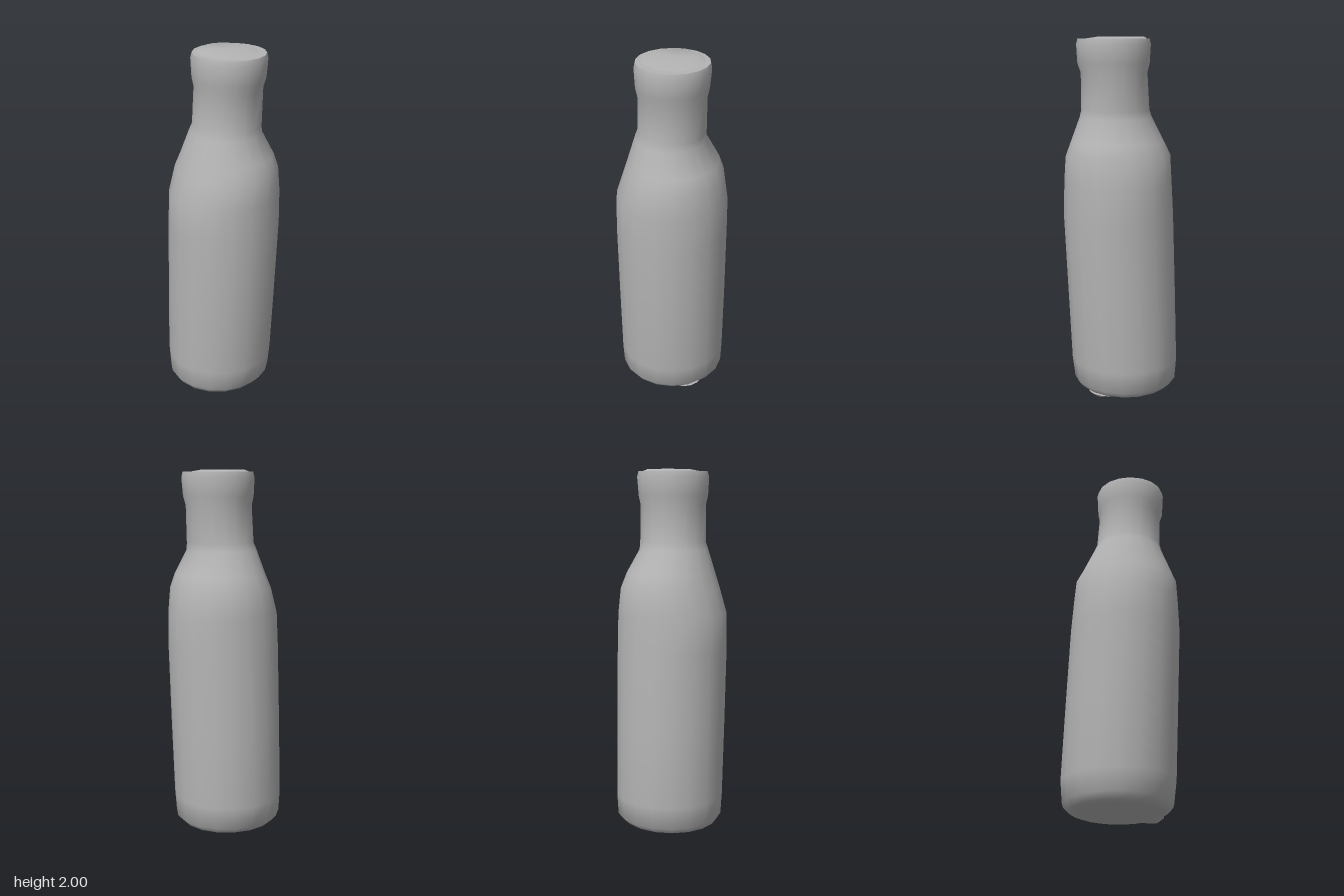
import * as THREE from 'three';
import { toCreasedNormals } from 'three/addons/utils/BufferGeometryUtils.js';

const SIDES = 18;

// Lofts closed elliptical rings [y, xMin, xMax, zMin, zMax] from bottom to top, with both ends capped.
function loft(rings) {
  const pos = [], idx = [];
  for (const [y, x0, x1, z0, z1] of rings) {
    for (let i = 0; i < SIDES; i++) {
      const a = (i / SIDES) * Math.PI * 2;
      pos.push((x0 + x1) / 2 + Math.sin(a) * (x1 - x0) / 2, y, (z0 + z1) / 2 + Math.cos(a) * (z1 - z0) / 2);
    }
  }
  for (let r = 0; r < rings.length - 1; r++) {
    for (let i = 0; i < SIDES; i++) {
      const a = r * SIDES + i, b = r * SIDES + (i + 1) % SIDES;
      idx.push(a, b, b + SIDES, a, b + SIDES, a + SIDES);
    }
  }
  const cap = (r, flip) => {
    const [y, x0, x1, z0, z1] = rings[r], c = pos.length / 3;
    pos.push((x0 + x1) / 2, y, (z0 + z1) / 2);
    for (let i = 0; i < SIDES; i++) {
      const a = r * SIDES + i, b = r * SIDES + (i + 1) % SIDES;
      idx.push(c, flip ? b : a, flip ? a : b);
    }
  };
  cap(0, true);
  cap(rings.length - 1, false);
  const g = new THREE.BufferGeometry();
  g.setAttribute('position', new THREE.Float32BufferAttribute(pos, 3));
  g.setIndex(idx);
  return toCreasedNormals(g, 1.0);
}

export function createModel() {
  const grey = new THREE.MeshStandardMaterial({ color: 0xb4b4b4 });
  grey.name = 'plain grey';
  const group = new THREE.Group();
  group.name = 'bottle';

  // Leaning body: rounded foot, straight wall, sloping shoulder, neck and lip
  const bottle = new THREE.Mesh(loft([
    [0.015, -0.25, 0.21, -0.24, 0.25],
    [0.025, -0.28, 0.24, -0.26, 0.28],
    [0.06, -0.315, 0.27, -0.295, 0.305],
    [0.18, -0.325, 0.285, -0.3, 0.31],
    [0.6, -0.31, 0.305, -0.305, 0.312],
    [1.03, -0.293, 0.325, -0.307, 0.312],
    [1.22, -0.28, 0.32, -0.306, 0.308],
    [1.36, -0.27, 0.315, -0.285, 0.262],
    [1.44, -0.23, 0.285, -0.258, 0.236],
    [1.57, -0.167, 0.232, -0.185, 0.195],
    [1.61, -0.152, 0.224, -0.185, 0.18],
    [1.81, -0.138, 0.226, -0.187, 0.175],
    [1.86, -0.15, 0.244, -0.198, 0.185],
    [1.96, -0.155, 0.25, -0.207, 0.19],
    [1.99, -0.148, 0.243, -0.2, 0.182],
  ]), grey);
  bottle.name = 'bottleBody';
  group.add(bottle);

  // Slightly domed cap, dipping to the left
  const cap = new THREE.Mesh(loft([
    [1.985, -0.14, 0.235, -0.19, 0.172],
    [2.0, -0.12, 0.13, -0.13, 0.11],
  ]), grey);
  cap.name = 'cap';
  group.add(cap);

  // Worn bump low on the base that the bottle rests on
  const foot = new THREE.Mesh(loft([
    [0, 0.12, 0.19, -0.15, -0.07],
    [0.02, -0.02, 0.22, -0.2, 0.02],
  ]), grey);
  foot.name = 'baseBump';
  group.add(foot);
  return group;
}
